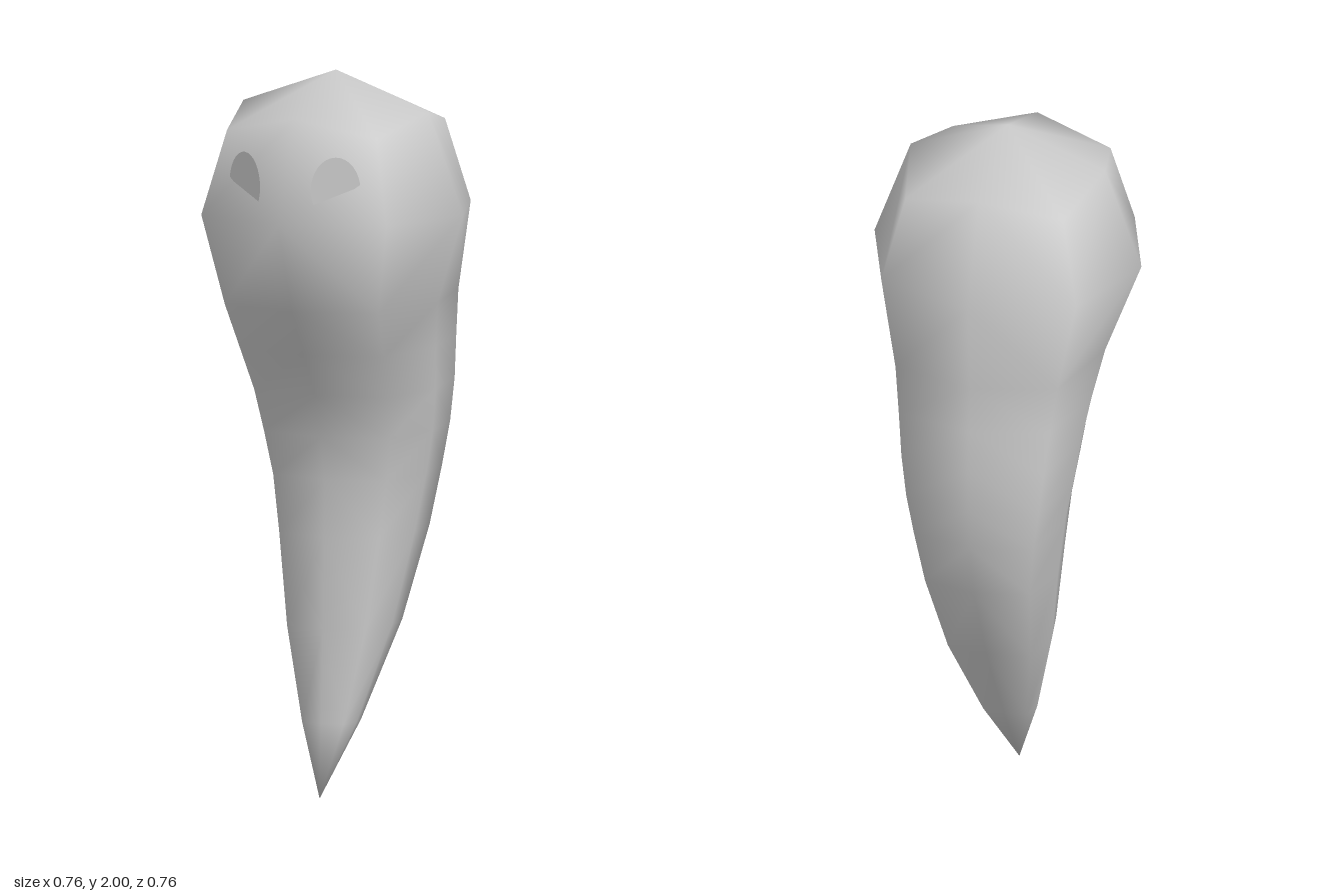
import * as THREE from 'three';

// Cross-sections from crown to tail: [y, half width, front z, back z, corner ratio, corner drop]
const SECTIONS = [
  [1.90, 0.277, 0.277, -0.277, 0.81, 0.05],
  [1.62, 0.380, 0.380, -0.380, 0.73, 0],
  [1.37, 0.288, 0.292, -0.365, 0.80, 0],
  [1.24, 0.262, 0.212, -0.372, 0.82, 0],
  [1.12, 0.244, 0.138, -0.380, 0.83, 0],
  [1.00, 0.227, 0.100, -0.378, 0.83, 0],
  [0.88, 0.205, 0.077, -0.362, 0.83, 0],
  [0.72, 0.180, 0.079, -0.323, 0.83, 0],
  [0.47, 0.142, 0.088, -0.202, 0.83, 0],
  [0.21, 0.075, 0.098, -0.040, 0.83, 0],
];
const SIDES = 8;

// Eight-sided tapering body, closed by a point at each end
function bodyGeometry() {
  const pos = [0, 2, 0];
  const index = [];
  for (const [y, w, front, back, ratio, drop] of SECTIONS) {
    const mid = (front + back) / 2, depth = (front - back) / 2;
    for (let i = 0; i < SIDES; i++) {
      const a = (i / SIDES) * Math.PI * 2;
      const corner = i % 2 === 1;
      const sx = corner ? Math.sign(Math.sin(a)) * ratio : Math.round(Math.sin(a));
      const sz = corner ? Math.sign(Math.cos(a)) * ratio : Math.round(Math.cos(a));
      pos.push(sx * w, y - (corner ? drop : 0), mid + sz * depth);
    }
  }
  const tip = pos.length / 3;
  pos.push(0, 0.005, 0.108);
  const at = (row, i) => 1 + row * SIDES + (i % SIDES);
  const last = SECTIONS.length - 1;
  for (let i = 0; i < SIDES; i++) {
    index.push(0, at(0, i), at(0, i + 1));
    for (let r = 0; r < last; r++) {
      const a = at(r, i), b = at(r + 1, i), c = at(r + 1, i + 1), d = at(r, i + 1);
      // Diagonals mirrored left to right
      if (i % 2 === 0) index.push(a, b, c, a, c, d);
      else index.push(a, b, d, b, c, d);
    }
    index.push(at(last, i), tip, at(last, i + 1));
  }
  const g = new THREE.BufferGeometry();
  g.setAttribute('position', new THREE.Float32BufferAttribute(pos, 3));
  g.setIndex(index);
  g.computeVertexNormals();
  return g;
}

// Upright oval plate, turned outward; its lower part sinks into the head
function eyeGeometry(side) {
  const shape = new THREE.Shape();
  shape.absellipse(side * 0.136, 1.715, 0.06, 0.09, 0, Math.PI * 2);
  const g = new THREE.ShapeGeometry(shape, 16);
  const p = g.attributes.position;
  for (let i = 0; i < p.count; i++) p.setZ(i, 0.373 - 0.53 * Math.abs(p.getX(i)));
  g.computeVertexNormals();
  return g;
}

export function createModel() {
  const group = new THREE.Group();
  group.name = 'ghost';
  const grey = new THREE.MeshStandardMaterial({ color: 0xcccccc, side: THREE.DoubleSide });
  grey.name = 'light grey';

  const body = new THREE.Mesh(bodyGeometry(), grey);
  body.name = 'body';
  group.add(body);

  for (const side of [1, -1]) {
    const eye = new THREE.Mesh(eyeGeometry(side), grey);
    eye.name = side > 0 ? 'leftEye' : 'rightEye';
    group.add(eye);
  }
  return group;
}
